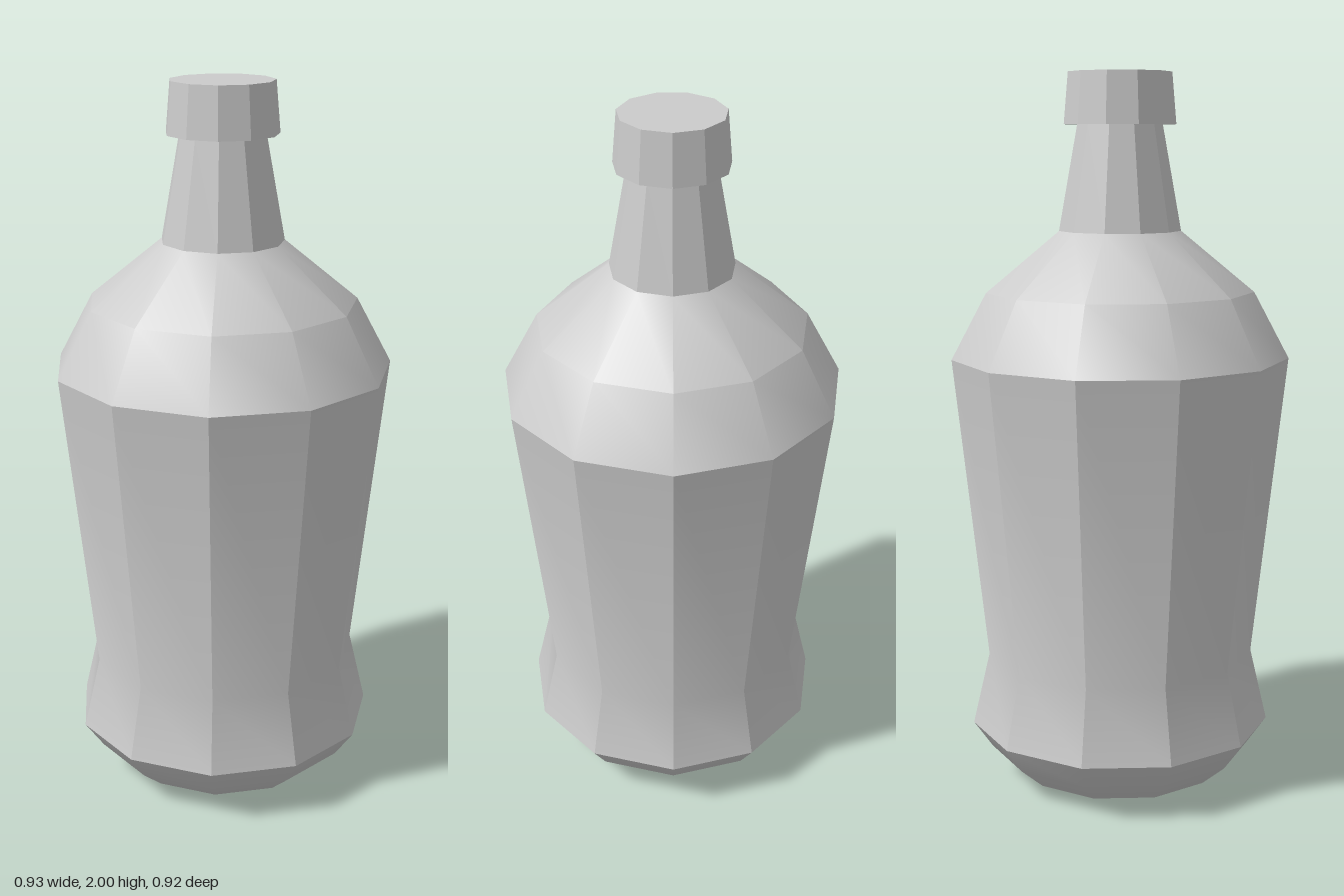
import * as THREE from 'three';
import { toCreasedNormals } from 'three/addons/utils/BufferGeometryUtils.js';

const SIDES = 11;
const CREASE = THREE.MathUtils.degToRad(30);

// Profiles as [radius, height], from bottom to top
const parts = {
  base: [[0, 0], [0.3, 0.024], [0.374, 0.088], [0.428, 0.165]],
  body: [[0.428, 0.165], [0.38, 0.37], [0.472, 1.222]],
  shoulder: [[0.472, 1.222], [0.374, 1.405], [0.17, 1.572]],
  neck: [[0.17, 1.572], [0.118, 1.86]],
  cap: [[0.118, 1.86], [0.155, 1.86], [0.143, 2], [0, 2]],
};

export function createModel() {
  const bottle = new THREE.Group();
  bottle.name = 'bottle';
  const material = new THREE.MeshStandardMaterial({ color: 0xcccccc });

  for (const [name, profile] of Object.entries(parts)) {
    const points = profile.map(([r, y]) => new THREE.Vector2(r, y));
    // One corner points straight back
    const lathe = new THREE.LatheGeometry(points, SIDES, Math.PI);
    const mesh = new THREE.Mesh(toCreasedNormals(lathe, CREASE), material);
    mesh.name = name;
    bottle.add(mesh);
  }

  // Odd number of sides: shift the axis so the outline is centred in z
  for (const mesh of bottle.children) mesh.position.z = 0.0096;
  return bottle;
}
